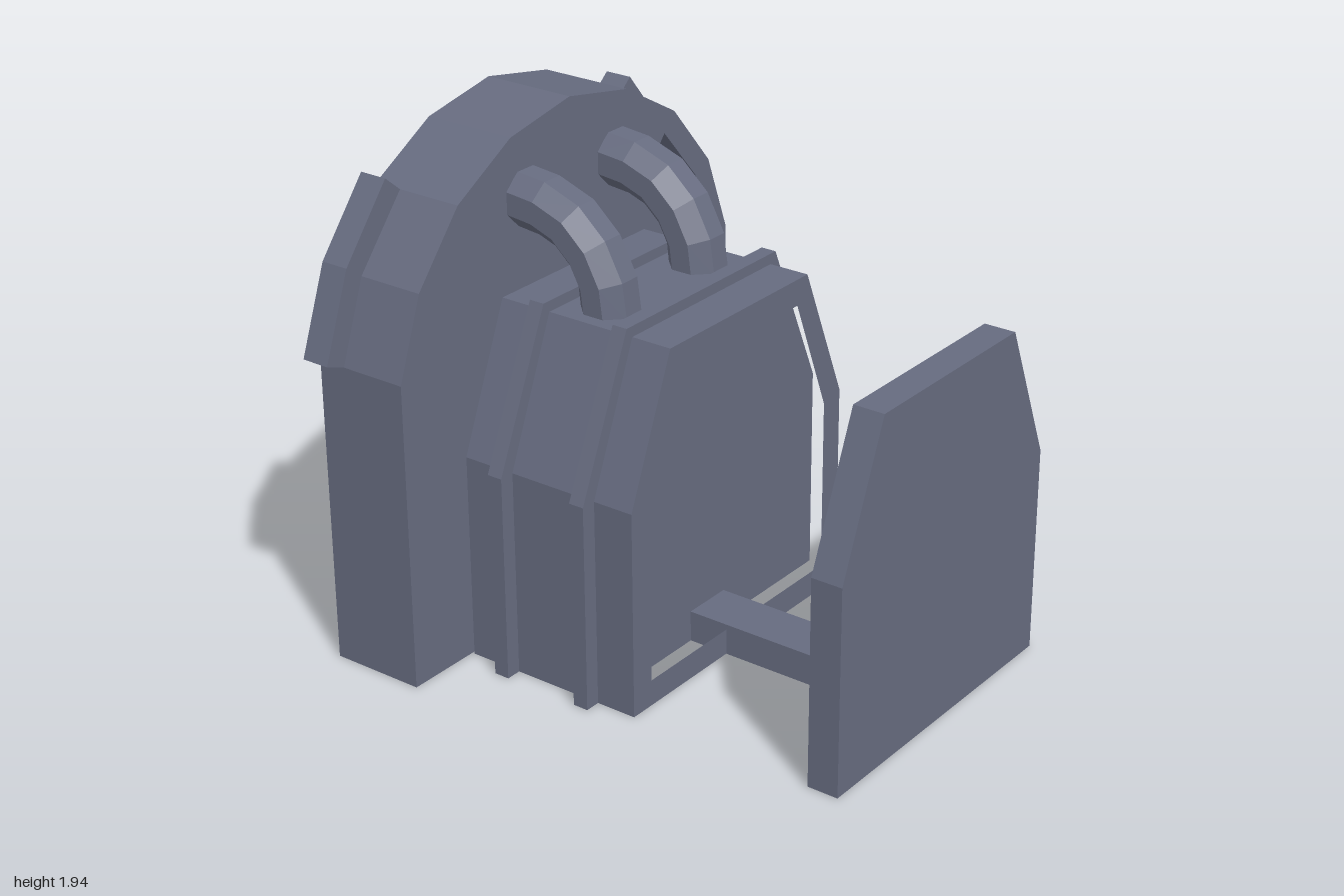
import * as THREE from 'three';

const material = new THREE.MeshStandardMaterial({ color: 0x666b7f, flatShading: true });

// Shape in (z, y), from a list of points
const outline = (pts) => new THREE.Shape(pts.map(([z, y]) => new THREE.Vector2(-z, y)));

// Full symmetric outline from its +z half, listed bottom to top
const mirrored = (half) => [
  ...half,
  ...half.filter(([z]) => z > 0).map(([z, y]) => [-z, y]).reverse(),
];

const flip = (pts, side) => pts.map(([z, y]) => [z * side, y]);

export function createModel() {
  const model = new THREE.Group();

  const add = (name, geometry) => {
    const mesh = new THREE.Mesh(geometry, material);
    mesh.name = name;
    model.add(mesh);
    return mesh;
  };

  // Slab between two x positions, with optional openings
  const slab = (name, pts, x0, x1, holes = []) => {
    const shape = outline(pts);
    shape.holes = holes.map(outline);
    const geometry = new THREE.ExtrudeGeometry(shape, { depth: x1 - x0, bevelEnabled: false });
    geometry.rotateY(Math.PI / 2).translate(x0, 0, 0);
    return add(name, geometry);
  };

  // Arched housing with two fan-shaped pockets in its inner face
  const arch = mirrored([[0.92, 0], [0.92, 1.17], [0.81, 1.47], [0.6, 1.72], [0.32, 1.88], [0, 1.94]]);
  const pocket = [[0.3, 1.04], [0.83, 1.12], [0.73, 1.43], [0.54, 1.65], [0.2, 1.24]];
  slab('housingBack', arch, -0.98, -0.76);
  slab('housingFace', arch, -0.76, -0.61, [pocket, flip(pocket, -1)]);

  // Raised trim on both shoulders of the arch
  const trim = [[0.92, 1.17], [1, 1.2], [0.88, 1.52], [0.67, 1.78], [0.6, 1.72], [0.81, 1.47]];
  for (const side of [1, -1]) slab('shoulderTrim', flip(trim, side), -0.98, -0.87);

  // Chamber: solid rear, hollow front, two ribs around it
  const body = mirrored([[0.62, 0], [0.62, 0.79], [0.4, 1.32]]);
  const cavity = mirrored([[0.52, 0.1], [0.52, 0.77], [0.34, 1.22]]);
  const rib = mirrored([[0.68, 0], [0.68, 0.79], [0.43, 1.36]]);
  slab('chamberRear', body, -0.6, -0.1);
  slab('chamberFront', body, -0.1, 0.13, [cavity]);
  for (const x of [-0.45, -0.09]) slab('rib', rib, x, x + 0.06);

  // End plate and the bar that carries it
  slab('endPlate', body, 0.86, 0.98);
  add('connectingBar', new THREE.BoxGeometry(0.98, 0.12, 0.2).translate(0.38, 0.06, -0.02));

  // Two bent octagonal pipes from the housing to the chamber top
  const section = new THREE.Shape(Array.from({ length: 8 }, (_, i) => {
    const a = (i + 0.5) * Math.PI / 4;
    return new THREE.Vector2(Math.cos(a), Math.sin(a)).multiplyScalar(0.108);
  }));
  const bend = [[-0.62, 1.65], [-0.455, 1.628], [-0.36, 1.575], [-0.285, 1.49], [-0.25, 1.41], [-0.237, 1.3]];
  for (const z of [0.25, -0.25]) {
    const path = new THREE.CatmullRomCurve3(bend.map(([x, y]) => new THREE.Vector3(x, y, z)));
    add('pipe', new THREE.ExtrudeGeometry(section, { steps: 5, extrudePath: path, bevelEnabled: false }));
  }

  return model;
}
